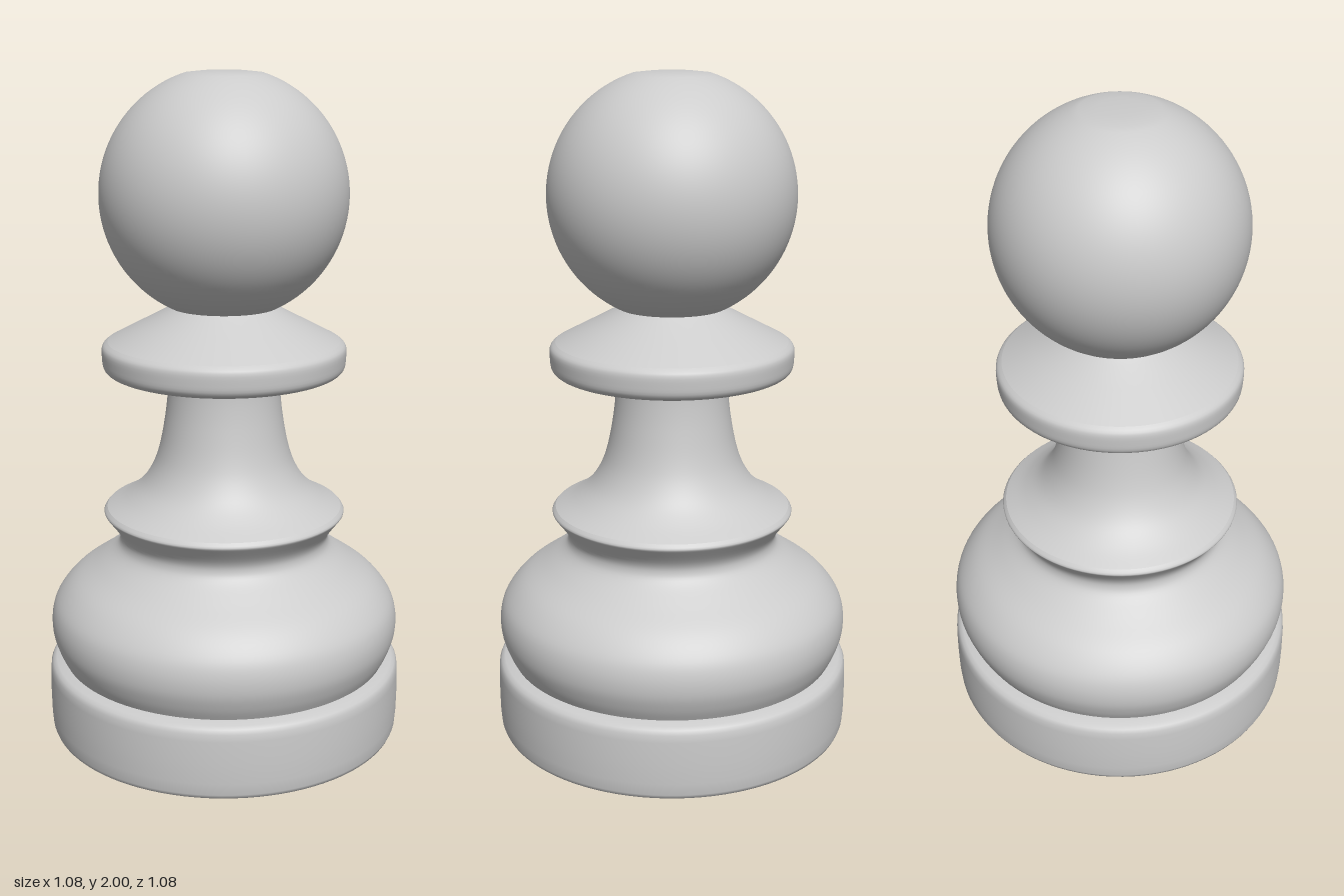
import * as THREE from 'three';

const SEGMENTS = 96;

// Smooth run of profile points [radius, height], sampled from a spline
function curve(points, samples) {
  return new THREE.SplineCurve(points.map(([r, y]) => new THREE.Vector2(r, y))).getPoints(samples);
}

const line = (points) => points.map(([r, y]) => new THREE.Vector2(r, y));

export function createModel() {
  const group = new THREE.Group();
  const material = new THREE.MeshStandardMaterial({ color: 0xcccccc });

  // Each turned section runs from bottom to top; sections meet at sharp edges
  function turn(name, profile) {
    const mesh = new THREE.Mesh(new THREE.LatheGeometry(profile, SEGMENTS), material);
    mesh.name = name;
    group.add(mesh);
  }

  // Plinth: nearly flat underside, upright band with softened edges
  turn('baseUnderside', line([[0, 0], [0.39, 0], [0.525, 0.008]]));
  turn('baseBand', line([[0.525, 0.008], [0.533, 0.012], [0.538, 0.024], [0.541, 0.06], [0.542, 0.12],
    [0.541, 0.19], [0.539, 0.212], [0.533, 0.225], [0.522, 0.232], [0.497, 0.238]]));

  // Bulging body rising into the waist below the rim
  turn('body', curve([[0.497, 0.238], [0.515, 0.275], [0.53, 0.325], [0.53, 0.38], [0.512, 0.43],
    [0.465, 0.485], [0.39, 0.538], [0.335, 0.58], [0.318, 0.61], [0.325, 0.642], [0.36, 0.69]], 44));

  // Small rim and the concave stem
  turn('rim', curve([[0.36, 0.69], [0.365, 0.7], [0.355, 0.713]], 6));
  turn('stem', curve([[0.355, 0.713], [0.3, 0.743], [0.25, 0.785], [0.215, 0.84], [0.193, 0.905],
    [0.177, 0.99], [0.169, 1.06], [0.167, 1.115]], 32));

  // Collar: flat underside, rounded edge, sloping top
  turn('collarUnderside', line([[0.16, 1.115], [0.25, 1.116], [0.29, 1.12]]));
  turn('collarEdge', curve([[0.29, 1.12], [0.335, 1.129], [0.357, 1.145], [0.362, 1.175],
    [0.361, 1.207], [0.345, 1.223]], 18));
  turn('collarTop', line([[0.345, 1.223], [0.25, 1.273], [0.18, 1.31], [0.148, 1.333]]));

  // Ball head, slightly flattened at the crown
  const radius = 0.362, centre = 1.65;
  const start = -Math.acos(0.148 / radius), end = Math.asin(0.345 / radius);
  const head = [];
  for (let i = 0; i <= 40; i++) {
    const a = start + (end - start) * i / 40;
    head.push(new THREE.Vector2(radius * Math.cos(a), centre + radius * Math.sin(a)));
  }
  head.push(new THREE.Vector2(0.06, 2), new THREE.Vector2(0, 2));
  turn('head', head);

  return group;
}
